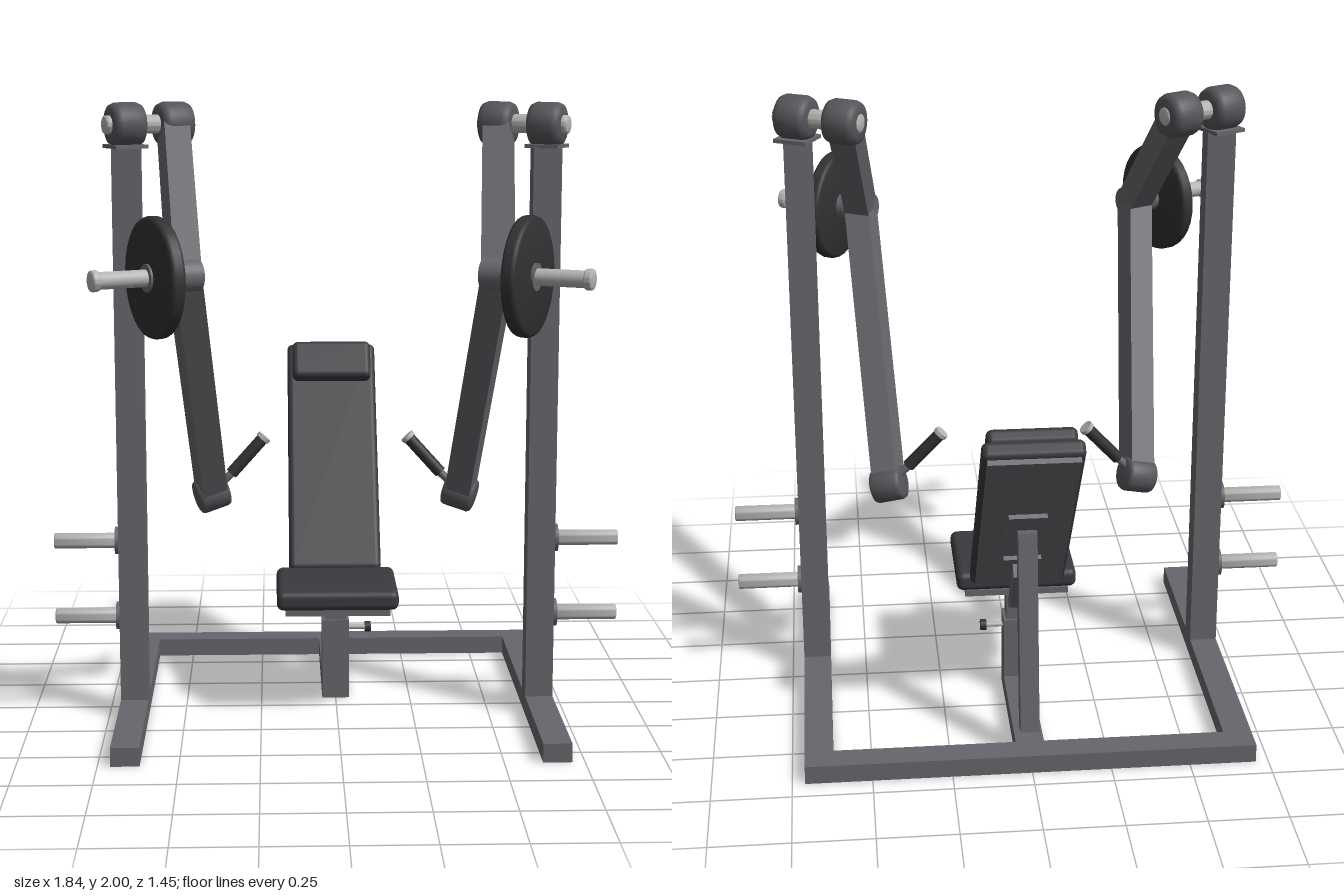
import * as THREE from 'three';
import { toCreasedNormals } from 'three/addons/utils/BufferGeometryUtils.js';
import { RoundedBoxGeometry } from 'three/addons/geometries/RoundedBoxGeometry.js';

const paint = (name, color) => {
  const m = new THREE.MeshStandardMaterial({ color });
  m.name = name;
  return m;
};

export function createModel() {
  const frame = paint('frame grey', 0x66676c);
  const bearingGrey = paint('bearing grey', 0x55565a);
  const steel = paint('pale steel', 0xb4b4b2);
  const padding = paint('padding', 0x3a393e);
  const rubber = paint('black rubber', 0x313133);

  const model = new THREE.Group();
  model.name = 'pressMachine';

  const add = (parent, name, geometry, material) => {
    const mesh = new THREE.Mesh(geometry, material);
    mesh.name = name;
    parent.add(mesh);
    return mesh;
  };

  // Box given by its extents on each axis
  const block = (parent, name, x0, x1, y0, y1, z0, z1, material = frame) => {
    const mesh = add(parent, name, new THREE.BoxGeometry(Math.abs(x1 - x0), y1 - y0, z1 - z0), material);
    mesh.position.set((x0 + x1) / 2, (y0 + y1) / 2, (z0 + z1) / 2);
    return mesh;
  };

  // Aligns a mesh's y axis with a->b and its x axis as near as possible to side
  const align = (mesh, a, b, side) => {
    const d = b.clone().sub(a).normalize();
    const w = side.clone().addScaledVector(d, -side.dot(d)).normalize();
    const n = w.clone().cross(d);
    mesh.quaternion.setFromRotationMatrix(new THREE.Matrix4().makeBasis(w, d, n));
    mesh.position.copy(a).add(b).multiplyScalar(0.5);
    return mesh;
  };

  const beam = (parent, name, a, b, width, depth, side) =>
    align(add(parent, name, new THREE.BoxGeometry(width, a.distanceTo(b), depth), frame), a, b, side);

  // Round bar between two points, with an optional rounded edge
  const rod = (parent, name, a, b, r, material, bevel = 0) => {
    const h = a.distanceTo(b) / 2;
    let geometry = new THREE.CylinderGeometry(r, r, 2 * h, 28);
    if (bevel) {
      const pts = [[0, -h], [r - bevel, -h], [r - bevel * 0.3, -h + bevel * 0.3], [r, -h + bevel],
        [r, h - bevel], [r - bevel * 0.3, h - bevel * 0.3], [r - bevel, h], [0, h]];
      geometry = toCreasedNormals(new THREE.LatheGeometry(pts.map(p => new THREE.Vector2(...p)), 32), 0.85);
    }
    const mesh = add(parent, name, geometry, material);
    mesh.quaternion.setFromUnitVectors(new THREE.Vector3(0, 1, 0), b.clone().sub(a).normalize());
    mesh.position.copy(a).add(b).multiplyScalar(0.5);
    return mesh;
  };

  // Base
  block(model, 'rearRail', -0.62, 0.62, 0, 0.06, -0.68, -0.59);
  block(model, 'centreRail', -0.045, 0.045, 0, 0.06, -0.59, -0.08);

  // Seat and its post
  const P = (x, y, z) => new THREE.Vector3(x, y, z);
  const X = P(1, 0, 0);
  block(model, 'seatPost', -0.045, 0.045, 0.06, 0.27, -0.17, -0.08);
  block(model, 'seatPostInner', -0.035, 0.035, 0.27, 0.36, -0.16, -0.09);
  block(model, 'seatBoard', -0.17, 0.17, 0.355, 0.376, -0.15, 0.175);
  const seat = add(model, 'seatPad', new RoundedBoxGeometry(0.395, 0.064, 0.35, 4, 0.022), padding);
  seat.position.set(0, 0.407, 0.018);
  rod(model, 'pinStem', P(0.04, 0.235, -0.125), P(0.105, 0.235, -0.125), 0.008, steel);
  rod(model, 'pinKnob', P(0.1, 0.235, -0.125), P(0.12, 0.235, -0.125), 0.018, rubber);

  // Backrest, in a frame with y along the pad and z out of its face
  const back = new THREE.Group();
  back.name = 'backrest';
  back.position.set(0, 0.44, -0.12);
  back.rotation.x = -Math.atan2(0.62, 0.785);
  model.add(back);
  const backPad = add(back, 'backPad', new RoundedBoxGeometry(0.31, 0.88, 0.06, 4, 0.02), padding);
  backPad.position.set(0, 0.44, -0.03);
  const headPad = add(back, 'headPad', new RoundedBoxGeometry(0.275, 0.145, 0.056, 4, 0.02), padding);
  headPad.position.set(0, 0.788, 0.026);
  block(back, 'backBoard', -0.14, 0.14, 0.03, 0.865, -0.077, -0.058);
  block(back, 'lowerMount', -0.06, 0.06, 0.11, 0.25, -0.092, -0.077);
  block(back, 'upperMount', -0.06, 0.06, 0.42, 0.54, -0.092, -0.077);
  block(back, 'hingeBar', -0.03, 0.03, -0.01, 0.22, -0.14, -0.09);
  beam(model, 'hingeArm', P(0, 0.345, -0.12), P(0, 0.345, -0.205), 0.06, 0.04, X);
  beam(model, 'backStrut', P(0, 0.745, -0.482), P(0, 0.095, -0.573), 0.06, 0.058, X);

  // Everything that comes in pairs
  for (const s of [1, -1]) {
    const half = new THREE.Group();
    half.name = s > 0 ? 'leftStation' : 'rightStation';
    model.add(half);
    const V = (x, y, z) => new THREE.Vector3(s * x, y, z);
    const axis = V(0.891, 0, 0.454); // outward direction of shaft and weight pin
    const along = (p, t) => p.clone().addScaledVector(axis, t);

    block(half, 'sideRail', s * 0.62, s * 0.71, 0, 0.06, -0.68, 0.59);
    block(half, 'upright', s * 0.62, s * 0.71, 0.06, 1.858, 0.025, 0.115);

    // Plate storage pins
    for (const y of [0.335, 0.587]) {
      rod(half, 'storageFlange', V(0.705, y, 0.07), V(0.722, y, 0.07), 0.045, frame);
      rod(half, 'storagePin', V(0.72, y, 0.07), V(0.92, y, 0.07), 0.025, steel, 0.004);
    }

    // Pivot: cap plate, two bearings and the shaft through them
    const outer = V(0.667, 1.93, 0.068);
    const inner = along(outer, -0.165);
    const cap = block(half, 'capPlate', s * 0.612, s * 0.722, 1.856, 1.868, 0.013, 0.123);
    cap.rotation.y = -s * 0.47;
    for (const c of [outer, inner]) {
      rod(half, 'bearing', along(c, -0.055), along(c, 0.055), 0.07, bearingGrey, 0.022);
    }
    rod(half, 'pivotShaft', along(inner, -0.058), along(outer, 0.072), 0.03, steel, 0.006);

    // Swing arm
    const arm = new THREE.Group();
    arm.name = 'swingArm';
    half.add(arm);
    const elbow = V(0.468, 1.5, 0.52);
    const tip = V(0.41, 0.72, -0.035);
    beam(arm, 'upperArm', inner, elbow, 0.085, 0.085, axis);
    beam(arm, 'lowerArm', elbow, tip, 0.085, 0.085, axis);
    rod(arm, 'elbowJoint', along(elbow, -0.045), along(elbow, 0.045), 0.05, frame);
    const d = tip.clone().sub(elbow).normalize();
    const w = axis.clone().addScaledVector(d, -axis.dot(d)).normalize().multiplyScalar(0.052);
    rod(arm, 'armEnd', tip.clone().sub(w), tip.clone().add(w), 0.056, bearingGrey, 0.012);

    // Weight plate on its pin
    rod(arm, 'plateHub', along(elbow, 0.03), along(elbow, 0.125), 0.042, frame);
    rod(arm, 'weightPlate', along(elbow, 0.072), along(elbow, 0.118), 0.182, rubber, 0.013);
    rod(arm, 'weightPin', along(elbow, 0.04), along(elbow, 0.285), 0.026, steel);
    rod(arm, 'weightPinTip', along(elbow, 0.275), along(elbow, 0.3), 0.032, steel, 0.006);

    // Handle
    const gripStart = V(0.345, 0.785, -0.038);
    const gripEnd = V(0.243, 0.897, -0.052);
    rod(arm, 'handleStem', tip, gripStart, 0.013, frame);
    rod(arm, 'handleGrip', gripStart, gripEnd, 0.02, rubber);
    rod(arm, 'handleCap', gripEnd, V(0.234, 0.907, -0.053), 0.024, steel);
  }

  return model;
}
